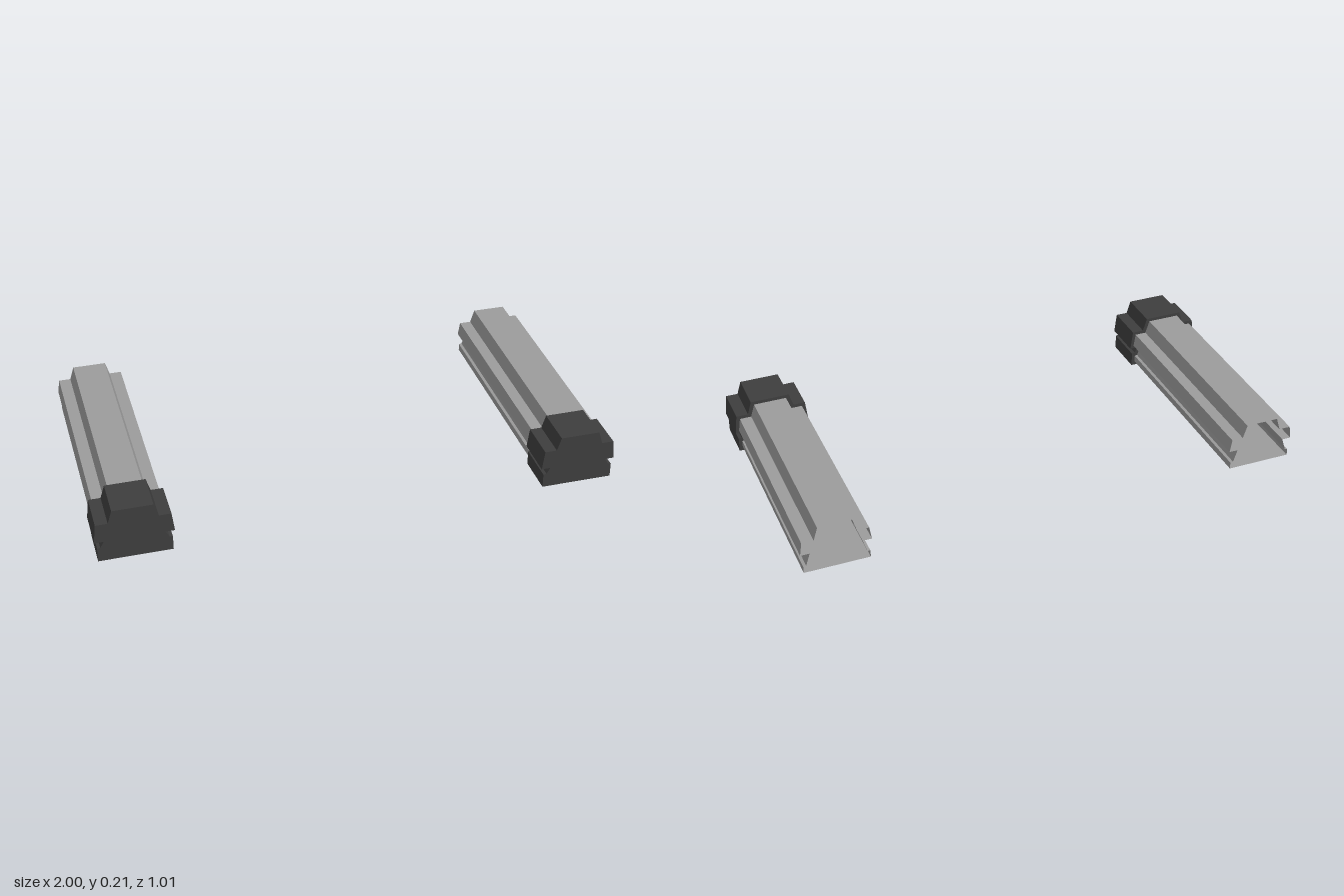
import * as THREE from 'three';

const SPACING = 0.853; // centre line of each rail from x = 0
const BACK = -0.505, JOIN = 0.345, FRONT = 0.505;

// Right-hand half profiles [x, y], from bottom to top
const railHalf = [[0.125, 0.016], [0.125, 0.043], [0.114, 0.045], [0.098, 0.095],
  [0.133, 0.095], [0.125, 0.147], [0.08, 0.147], [0.064, 0.199]];
const capHalf = [[0.138, 0], [0.138, 0.056], [0.126, 0.059], [0.112, 0.083],
  [0.147, 0.083], [0.138, 0.16], [0.092, 0.16], [0.076, 0.212]];

// Full counter-clockwise outline from a half profile
function mirrored(half) {
  return [...half, ...half.map(([x, y]) => [-x, y]).reverse()];
}

// Open-ended thin tube following the outline
function sheetGeometry(outline, z0, z1) {
  const pos = [];
  outline.forEach(([ax, ay], i) => {
    const [bx, by] = outline[(i + 1) % outline.length];
    pos.push(ax, ay, z0, bx, by, z0, bx, by, z1, ax, ay, z0, bx, by, z1, ax, ay, z1);
  });
  const geo = new THREE.BufferGeometry();
  geo.setAttribute('position', new THREE.Float32BufferAttribute(pos, 3));
  geo.computeVertexNormals();
  return geo;
}

// Solid block with the outline as its section
function blockGeometry(outline, z0, z1) {
  const shape = new THREE.Shape(outline.map(([x, y]) => new THREE.Vector2(x, y)));
  const geo = new THREE.ExtrudeGeometry(shape, { depth: z1 - z0, bevelEnabled: false });
  return geo.translate(0, 0, z0);
}

export function createModel() {
  const model = new THREE.Group();
  model.name = 'railPair';

  const metal = new THREE.MeshStandardMaterial({ color: 0x9c9c9c, side: THREE.DoubleSide });
  metal.name = 'aluminium grey';
  const plastic = new THREE.MeshStandardMaterial({ color: 0x3e3e3e });
  plastic.name = 'dark plastic';

  const railGeo = sheetGeometry(mirrored(railHalf), BACK, JOIN);
  const capGeo = blockGeometry(mirrored(capHalf), JOIN, FRONT);

  for (const [side, name] of [[1, 'left'], [-1, 'right']]) {
    const bar = new THREE.Group();
    bar.name = name + 'Bar';

    // Hollow grooved rail, open at the back
    const rail = new THREE.Mesh(railGeo, metal);
    rail.name = name + 'Rail';

    // Slightly larger end cap on the front
    const cap = new THREE.Mesh(capGeo, plastic);
    cap.name = name + 'EndCap';

    bar.add(rail, cap);
    bar.position.x = side * SPACING;
    model.add(bar);
  }
  return model;
}
